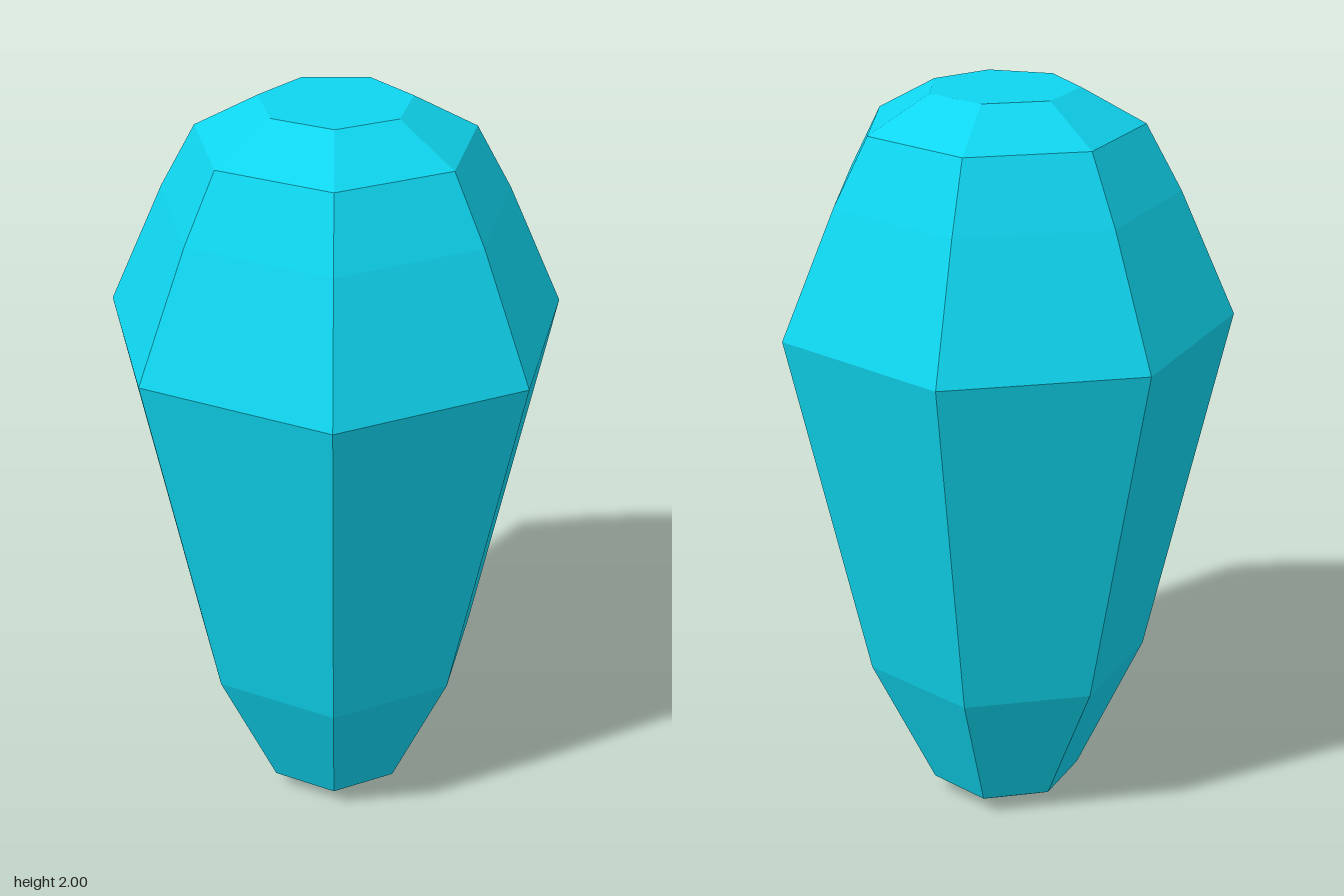
import * as THREE from 'three';

export function createModel() {
  const group = new THREE.Group();
  group.name = 'gem';

  // Radius and height of each seven-sided ring, bottom to top, closed at both ends
  const profile = [
    [0, 0], [0.118, 0], [0.21, 0.055], [0.388, 0.445], [0.598, 1.413],
    [0.452, 1.74], [0.359, 1.91], [0.195, 2], [0, 2],
  ].map(([r, y]) => new THREE.Vector2(r, y));

  // One corner points to the back, one flat side faces the front
  const geometry = new THREE.LatheGeometry(profile, 7, Math.PI);
  geometry.translate(0, 0, 0.029);

  const body = new THREE.Mesh(
    geometry,
    new THREE.MeshStandardMaterial({ color: 0x0fd5ef, flatShading: true })
  );
  body.name = 'facetedGemBody';
  group.add(body);
  return group;
}
